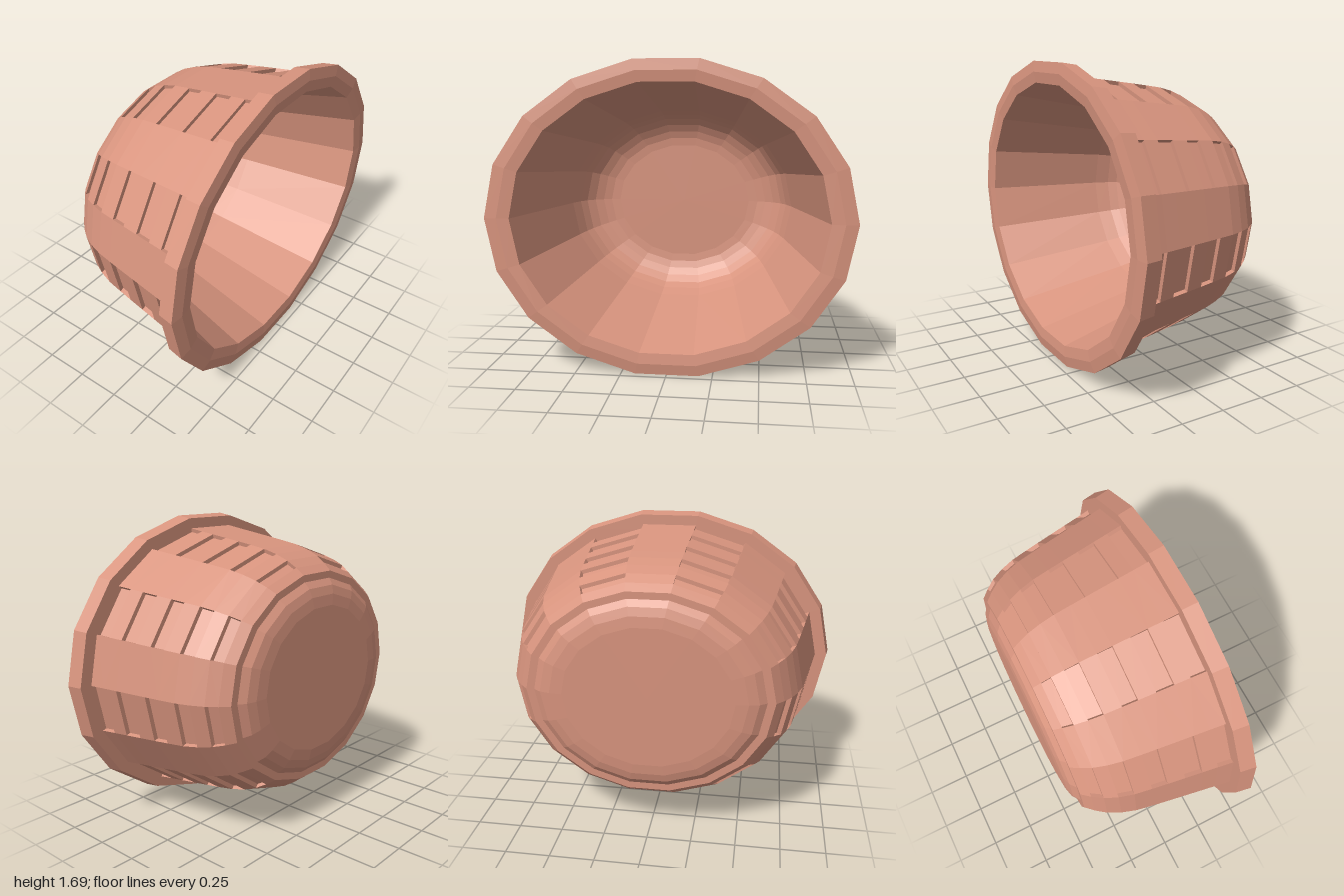
import * as THREE from 'three';

const SIDES = 18;
const STEP = (Math.PI * 2) / SIDES;
const SQUASH = 0.858; // oval height against width
const CENTRE_Y = 0.845;
const DEPTH = 0.025; // how far the weave stands out

// Course edges of the weave, front to back: [z, outer radius]
const COURSES = [
  [0.37, 0.917], [0.285, 0.902], [0.2, 0.888], [0.105, 0.872], [0.01, 0.856],
  [-0.075, 0.841], [-0.17, 0.823], [-0.25, 0.797], [-0.32, 0.763], [-0.375, 0.722], [-0.42, 0.68],
];

export function createModel() {
  const group = new THREE.Group();
  const clay = new THREE.MeshStandardMaterial({ color: 0xd8947e });
  clay.name = 'terracotta';

  const add = (name, geometry, parent = group) => {
    const flat = geometry.index ? geometry.toNonIndexed() : geometry;
    flat.scale(1, SQUASH, 1);
    flat.translate(0, CENTRE_Y, 0);
    flat.computeVertexNormals();
    const mesh = new THREE.Mesh(flat, clay);
    mesh.name = name;
    parent.add(mesh);
  };

  // Faceted ring turned about z from [radius, z] points
  const turned = (points) => new THREE.LatheGeometry(
    points.map(([r, z]) => new THREE.Vector2(r, z)), SIDES, Math.PI / 2,
  ).rotateX(Math.PI / 2);

  // One raised block: a box bent onto a single side of the bowl
  const block = (side, [zFront, rFront], [zBack, rBack]) => {
    const geometry = new THREE.BoxGeometry(1, 1, 1);
    const p = geometry.attributes.position;
    for (let i = 0; i < p.count; i++) {
      const angle = (side + (p.getX(i) > 0 ? 0 : 1)) * STEP;
      const front = p.getZ(i) > 0;
      const r = (front ? rFront : rBack) - (p.getY(i) > 0 ? 0 : DEPTH + 0.005);
      p.setXYZ(i, Math.cos(angle) * r, Math.sin(angle) * r, front ? zFront : zBack);
    }
    return geometry;
  };

  // Hollow shell: rounded base, recessed wall, inner wall and floor
  const wall = COURSES.map(([z, r]) => [r - DEPTH, z]).reverse();
  add('bowlShell', turned([
    [0, -0.467], [0.47, -0.467], [0.54, -0.461], [0.595, -0.447], [0.635, -0.42],
    ...wall,
    [0.9, 0.46], [0.86, 0.46],
    [0.68, -0.2], [0.65, -0.28], [0.62, -0.33], [0.575, -0.37],
    [0.525, -0.395], [0.475, -0.41], [0.42, -0.415], [0, -0.415],
  ]));

  // Thick rim around the opening
  add('rim', turned([
    [0.88, 0.37], [0.985, 0.37], [1, 0.458], [0.93, 0.467], [0.86, 0.46],
  ]));

  // Weave: courses of alternate blocks between full hoops
  const weave = new THREE.Group();
  weave.name = 'weave';
  group.add(weave);
  for (let c = 0; c < COURSES.length - 1; c++) {
    const [zFront, rFront] = COURSES[c];
    const [zBack, rBack] = COURSES[c + 1];
    if (c % 2) {
      add('hoop', turned([
        [rBack - DEPTH - 0.005, zBack], [rBack, zBack],
        [rFront, zFront], [rFront - DEPTH - 0.005, zFront],
      ]), weave);
    } else {
      for (let s = 0; s < SIDES; s += 2) {
        add('weaveBlock', block(s, COURSES[c], COURSES[c + 1]), weave);
      }
    }
  }
  return group;
}
